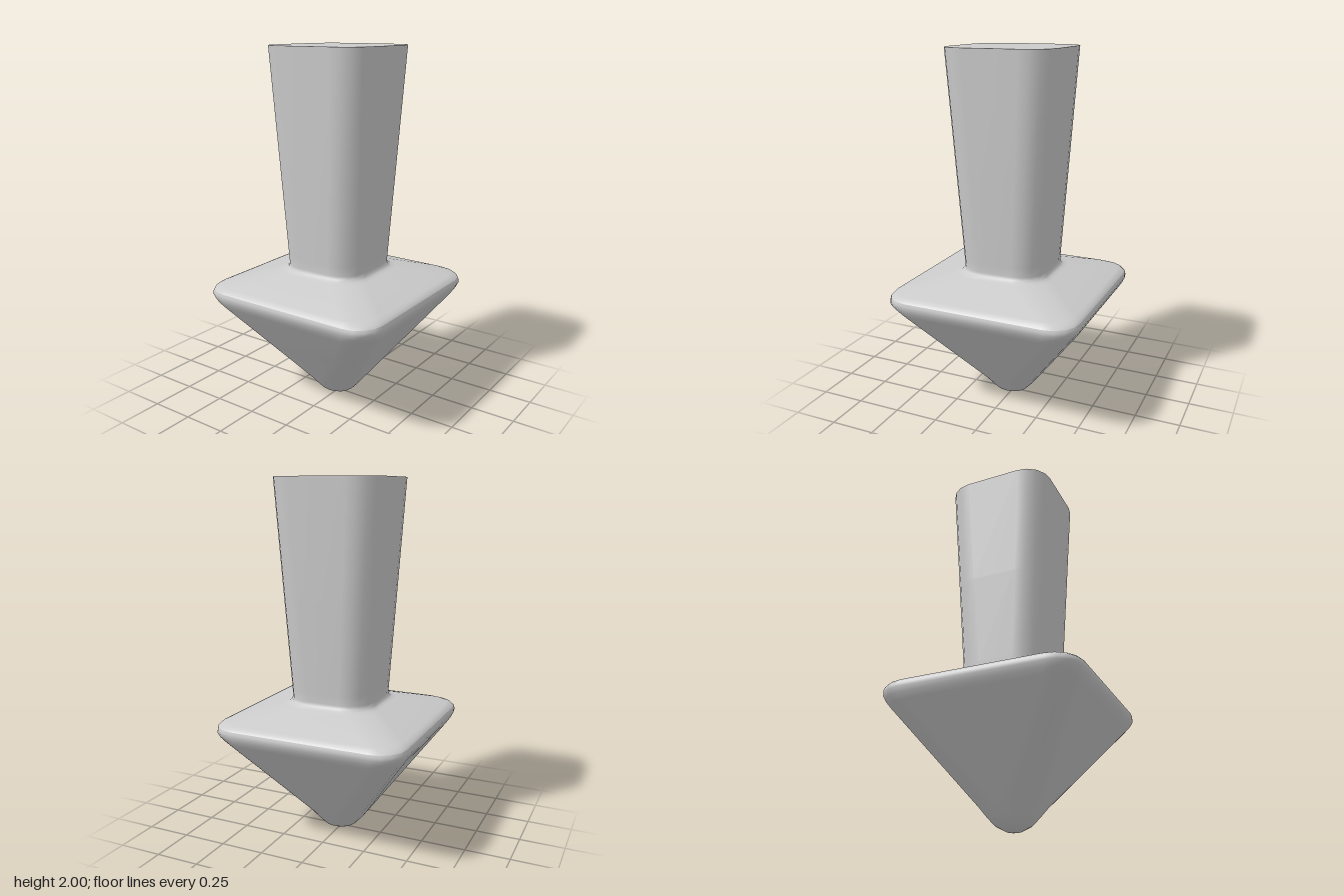
import * as THREE from 'three';

const CORNER = 0.147, STEPS = 4;

// Rounded-square outline of half-width h
function ring(h) {
  const r = Math.min(CORNER, h * 0.92), points = [];
  for (let q = 0; q < 4; q++) {
    const mid = (q + 0.5) * Math.PI / 2;
    const cx = Math.sign(Math.cos(mid)) * (h - r), cz = Math.sign(Math.sin(mid)) * (h - r);
    for (let s = 0; s <= STEPS; s++) {
      const a = (q + s / STEPS) * Math.PI / 2;
      points.push([cx + r * Math.cos(a), cz + r * Math.sin(a)]);
    }
  }
  return points;
}

// Skin rounded squares through [half-width, height] pairs, bottom to top
function loft(name, profile, material) {
  const n = 4 * (STEPS + 1), position = [], index = [];
  profile.forEach(([h, y], j) => {
    for (const [x, z] of ring(h)) position.push(x, y, z);
    if (j === 0) return;
    for (let i = 0; i < n; i++) {
      const a = (j - 1) * n + i, b = (j - 1) * n + (i + 1) % n;
      index.push(a, a + n, b, b, a + n, b + n);
    }
  });
  const geometry = new THREE.BufferGeometry();
  geometry.setAttribute('position', new THREE.Float32BufferAttribute(position, 3));
  geometry.setIndex(index);
  geometry.computeVertexNormals();
  const mesh = new THREE.Mesh(geometry, material);
  mesh.name = name;
  return mesh;
}

export function createModel() {
  const group = new THREE.Group();
  group.name = 'pointedPeg';
  const material = new THREE.MeshStandardMaterial({ color: 0xcccccc });

  // Blunt pyramid tip with a rounded rim
  group.add(loft('pointedHead', [
    [0, 0], [0.04, 0.003], [0.095, 0.033], [0.13, 0.07], [0.17, 0.122],
    [0.35, 0.37], [0.515, 0.597], [0.535, 0.628], [0.546, 0.655], [0.545, 0.672], [0.541, 0.685],
  ], material));

  // Sloping shoulder that blends into the flared shaft
  group.add(loft('shoulderAndShaft', [
    [0.541, 0.685], [0.53, 0.698], [0.505, 0.709], [0.4, 0.74], [0.275, 0.775],
    [0.255, 0.782], [0.244, 0.793], [0.24, 0.81], [0.2425, 0.86], [0.27, 1.36], [0.305, 2],
  ], material));

  // Flat top
  group.add(loft('shaftTop', [[0.305, 2], [0, 2]], material));
  return group;
}
